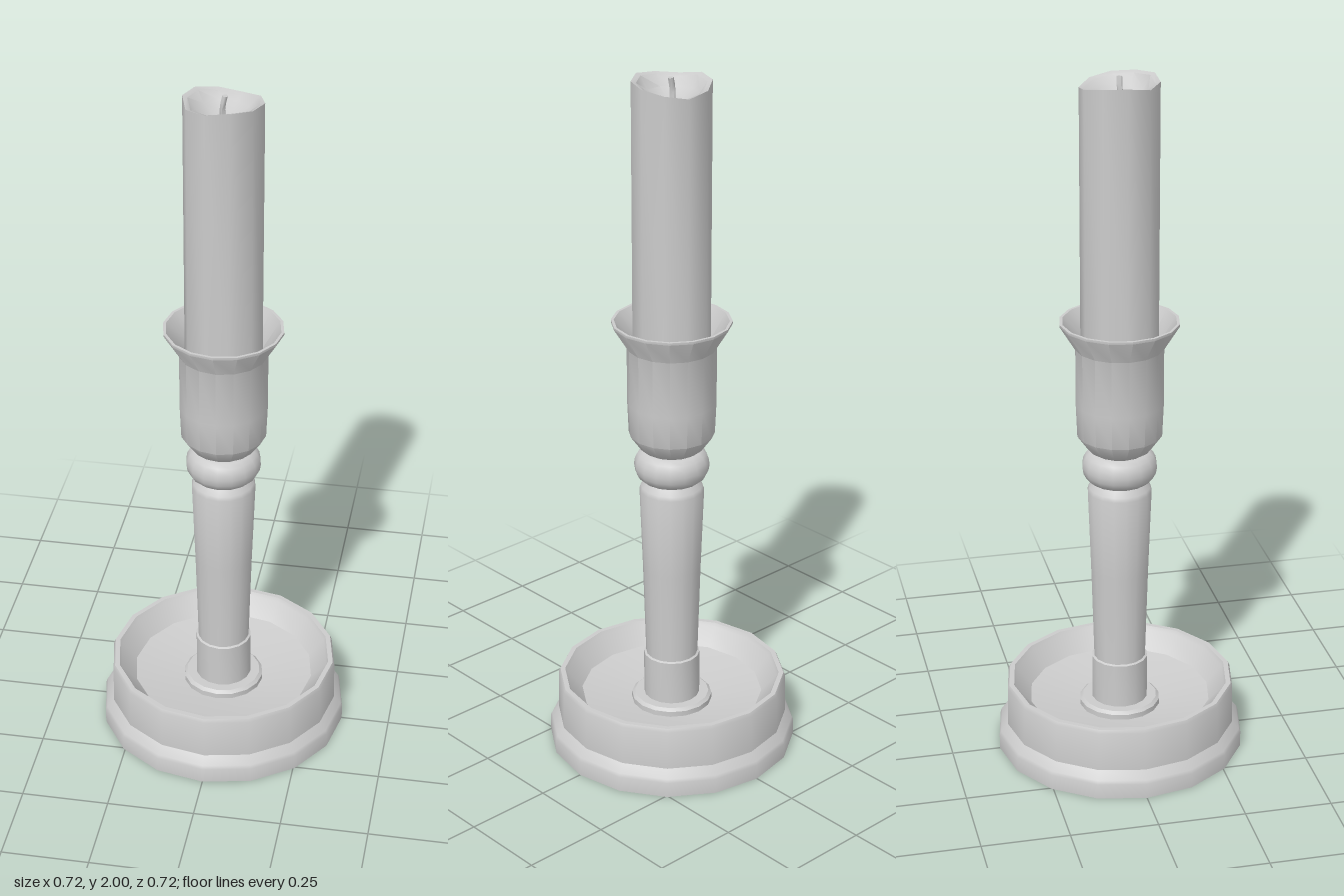
import * as THREE from 'three';
import { toCreasedNormals } from 'three/addons/utils/BufferGeometryUtils.js';

const material = new THREE.MeshStandardMaterial({ color: 0xcccccc });

// Turned part from [radius, height] pairs, listed bottom to top on the outside
function turned(profile, sides = 16, start = 0) {
  const points = profile.map(([r, y]) => new THREE.Vector2(r, y));
  return new THREE.LatheGeometry(points, sides, start);
}

function addPart(group, name, geometry, crease = 0.6) {
  const mesh = new THREE.Mesh(toCreasedNormals(geometry, crease), material);
  mesh.name = name;
  group.add(mesh);
  return mesh;
}

export function createModel() {
  const group = new THREE.Group();
  group.name = 'candlestick';

  // Drip dish with a stepped foot and a sunken floor
  addPart(group, 'base', turned([
    [0, 0], [0.36, 0], [0.36, 0.045], [0.355, 0.055], [0.335, 0.078],
    [0.333, 0.195], [0.328, 0.205], [0.314, 0.205], [0.308, 0.195],
    [0.264, 0.145], [0.11, 0.115], [0, 0.115],
  ]));

  // Small disc where the stem meets the dish
  addPart(group, 'stemFoot', turned([
    [0, 0.1], [0.117, 0.1], [0.117, 0.132], [0.108, 0.14], [0, 0.14],
  ]));

  // Collar and tapered shaft
  addPart(group, 'stem', turned([
    [0, 0.12], [0.081, 0.12], [0.081, 0.272], [0.075, 0.275],
    [0.083, 0.55], [0.092, 0.8], [0.088, 0.812], [0.07, 0.832], [0, 0.832],
  ]));

  // Rounded bead between shaft and cup
  const bead = [[0, 0.83]];
  for (let i = 0; i <= 8; i++) {
    const a = -Math.PI / 2 + (i / 8) * Math.PI;
    bead.push([0.07 + 0.037 * Math.cos(a), 0.877 + 0.047 * Math.sin(a)]);
  }
  bead.push([0, 0.924]);
  addPart(group, 'bead', turned(bead));

  // Candle cup with a flared, hollow lip
  addPart(group, 'cup', turned([
    [0, 0.92], [0.075, 0.922], [0.09, 0.932], [0.121, 0.975], [0.125, 1.07],
    [0.125, 1.235], [0.168, 1.305], [0.168, 1.312], [0.16, 1.312],
    [0.112, 1.235], [0.112, 1.2], [0, 1.2],
  ]));

  // Candle with an uneven melted rim around a shallow bowl
  const candleProfile = [
    [0, 1.19], [0.109, 1.19], [0.109, 1.99], [0.095, 1.985],
    [0.075, 1.955], [0.04, 1.936], [0, 1.93],
  ];
  const candle = turned(candleProfile, 10, Math.PI / 2);
  const rimOffsets = [-0.003, -0.012, -0.022, -0.012, 0, 0.003, -0.008, -0.002, 0.006, 0.002];
  const pos = candle.attributes.position;
  const rows = candleProfile.length;
  for (let i = 0; i < pos.count; i++) {
    const row = i % rows;
    const column = Math.floor(i / rows) % 10;
    if (row === 2 || row === 3) pos.setY(i, pos.getY(i) + rimOffsets[column]);
  }
  addPart(group, 'candle', candle, 0.7);

  // Slightly bent wick
  const wickPath = new THREE.CatmullRomCurve3([
    new THREE.Vector3(0, 1.92, 0),
    new THREE.Vector3(-0.003, 1.965, 0),
    new THREE.Vector3(0.004, 2, 0),
  ]);
  addPart(group, 'wick', new THREE.TubeGeometry(wickPath, 4, 0.008, 6), 1.2);
  const tip = addPart(group, 'wickTip', new THREE.CircleGeometry(0.008, 6));
  tip.rotation.x = -Math.PI / 2;
  tip.position.set(0.004, 2, 0);

  return group;
}
